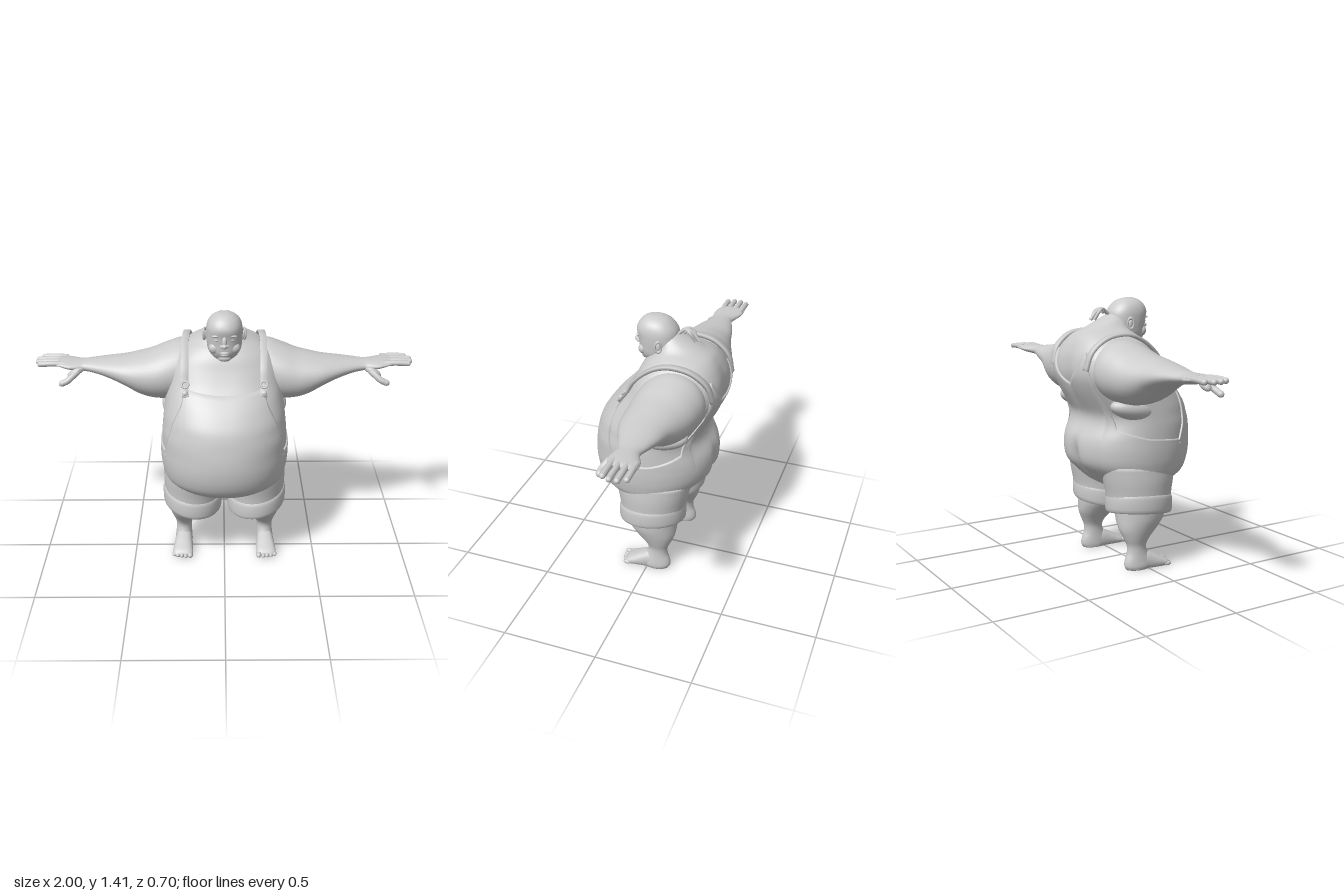
import * as THREE from 'three';

const V = (x, y, z) => new THREE.Vector3(x, y, z);
const TAU = Math.PI * 2;
const material = new THREE.MeshStandardMaterial({ color: 0xcccccc, side: THREE.DoubleSide });

// Smooth interpolation of keyed rows; the first entry of each row is the position
function at(keys, s) {
  let i = 0;
  while (i < keys.length - 2 && s > keys[i + 1][0]) i++;
  const a = keys[i], b = keys[i + 1], p = keys[Math.max(i - 1, 0)], q = keys[Math.min(i + 2, keys.length - 1)];
  const h = b[0] - a[0], t = (s - a[0]) / h, t2 = t * t, t3 = t2 * t;
  return a.map((v, k) => {
    if (k === 0) return s;
    const ma = (b[k] - p[k]) / (b[0] - p[0]) * h, mb = (q[k] - a[k]) / (q[0] - a[0]) * h;
    return v * (2 * t3 - 3 * t2 + 1) + ma * (t3 - 2 * t2 + t) + b[k] * (3 * t2 - 2 * t3) + mb * (t3 - t2);
  });
}

function levels(keys, sub) {
  const out = [];
  for (let i = 0; i < keys.length - 1; i++) {
    for (let j = 0; j < sub; j++) out.push(keys[i][0] + (keys[i + 1][0] - keys[i][0]) * j / sub);
  }
  return [...out, keys[keys.length - 1][0]];
}

// Skin closed rings of points; ends are 'cap', 'open' or 'loop'
function loft(rings, ends = 'cap') {
  const n = rings[0].length, m = rings.length, pts = rings.flat(), index = [];
  for (let i = 0; i < (ends === 'loop' ? m : m - 1); i++) {
    for (let j = 0; j < n; j++) {
      const a = i * n + j, b = i * n + (j + 1) % n, c = ((i + 1) % m) * n + j, d = ((i + 1) % m) * n + (j + 1) % n;
      index.push(a, b, d, a, d, c);
    }
  }
  if (ends === 'cap') {
    for (const i of [0, m - 1]) {
      const mid = pts.length;
      pts.push(rings[i].reduce((s, p) => s.add(p), V(0, 0, 0)).divideScalar(n));
      for (let j = 0; j < n; j++) {
        const a = i * n + j, b = i * n + (j + 1) % n;
        index.push(...(i === 0 ? [b, a, mid] : [a, b, mid]));
      }
    }
  }
  let volume = 0;
  for (let i = 0; i < index.length; i += 3) {
    volume += pts[index[i]].dot(V(0, 0, 0).crossVectors(pts[index[i + 1]], pts[index[i + 2]]));
  }
  if (volume < 0) index.reverse();
  const geo = new THREE.BufferGeometry().setFromPoints(pts);
  geo.setIndex(index);
  geo.computeVertexNormals();
  return geo;
}

const ringOf = (n, fn) => Array.from({ length: n }, (_, j) => fn(j / n * TAU));
const pow = (v, e) => Math.sign(v) * Math.abs(v) ** e;

function blob(x, y, z, rx, ry, rz, tiltX = 0, tiltZ = 0) {
  return new THREE.SphereGeometry(1, 20, 14).scale(rx, ry, rz).rotateX(tiltX).rotateZ(tiltZ).translate(x, y, z);
}
const tube = (points, r) => new THREE.TubeGeometry(new THREE.CatmullRomCurve3(points), 20, r, 10, false);

// Upright limb rows: y, inner x, outer x, front z, back z
const limb = (keys) => loft(levels(keys, 4).map((y) => {
  const [, x0, x1, zf, zb] = at(keys, y);
  return ringOf(32, (a) => V((x0 + x1) / 2 + (x1 - x0) / 2 * Math.cos(a), y, (zf + zb) / 2 + (zf - zb) / 2 * Math.sin(a)));
}));

// Torso rows: y, half width, front z, back z, widest z, squareness
const torso = [
  [0.42, 0.16, 0.17, -0.12, 0.01, 2], [0.45, 0.25, 0.24, -0.17, 0.01, 2], [0.5, 0.305, 0.3, -0.225, 0.02, 2.1],
  [0.56, 0.325, 0.33, -0.28, 0.02, 2.1], [0.63, 0.333, 0.343, -0.295, 0.02, 2.1], [0.7, 0.333, 0.342, -0.285, 0.02, 2.1],
  [0.77, 0.33, 0.33, -0.245, 0.02, 2.2], [0.82, 0.325, 0.318, -0.24, 0.01, 2.2], [0.87, 0.32, 0.297, -0.265, -0.01, 2.3],
  [0.95, 0.31, 0.24, -0.31, -0.05, 2.4], [1.03, 0.3, 0.165, -0.338, -0.08, 2.6], [1.11, 0.28, 0.115, -0.333, -0.08, 2.6],
  [1.17, 0.24, 0.085, -0.31, -0.08, 2.5], [1.21, 0.2, 0.055, -0.285, -0.09, 2.3], [1.235, 0.16, 0.03, -0.26, -0.09, 2.1],
  [1.26, 0.11, 0.02, -0.215, -0.07, 2], [1.3, 0.075, 0.01, -0.14, -0.05, 2], [1.335, 0.045, 0, -0.07, -0.03, 2],
];
// Point on the torso: phi = 0 is the front, pi the back
function body(phi, y, off = 0) {
  const [, w, zf, zb, zm, p] = at(torso, y);
  const s = Math.sin(phi), c = Math.cos(phi);
  const x = w * pow(s, 2 / p);
  let z = zm + (c > 0 ? zf - zm : zm - zb) * pow(c, 2 / p);
  if (c < 0) {
    const crease = 0.035 * Math.exp(-(((y - 0.57) / 0.1) ** 2)) + 0.014 * Math.exp(-(((y - 1.02) / 0.13) ** 2));
    z += crease * Math.exp(-((x / 0.035) ** 2));
  }
  return V(x + off * s, y, z + off * c);
}

// Upper edge of the overalls by angle from the front, in degrees
const edge = [[0, 1.01], [36, 1.03], [40, 0.97], [52, 0.87], [66, 0.69], [100, 0.71], [136, 0.76],
  [141, 0.82], [145, 0.92], [149, 1.13], [153, 1.16], [165, 1.06], [180, 0.98]];
function edgeHeight(phi) {
  const d = Math.abs(THREE.MathUtils.radToDeg(phi > Math.PI ? phi - TAU : phi));
  const i = Math.max(1, edge.findIndex((k) => k[0] >= d - 1e-6));
  const [a, b] = [edge[i - 1], edge[i]];
  return THREE.MathUtils.lerp(a[1], b[1], (d - a[0]) / (b[0] - a[0]));
}

export function createModel() {
  const model = new THREE.Group();
  model.name = 'bigManInOveralls';
  const add = (name, geo) => {
    const mesh = new THREE.Mesh(geo, material);
    mesh.name = name;
    model.add(mesh);
  };
  const pair = (name, geo) => {
    add('left' + name, geo);
    const other = geo.clone().scale(-1, 1, 1);
    other.setIndex(Array.from(geo.index.array).reverse());
    add('right' + name, other);
  };

  // Torso with neck roll, and the overalls lying over it
  add('torso', loft(levels(torso, 4).map((y) => ringOf(72, (a) => body(a, y)))));
  const rows = 32;
  add('overalls', loft(Array.from({ length: rows + 2 }, (_, i) => ringOf(180, (a) => {
    const y = THREE.MathUtils.lerp(0.425, edgeHeight(a), Math.min(i / rows, 1));
    return body(a, y, i > rows ? -0.006 : 0.008);
  })), 'open'));
  pair('FlankRoll', blob(0.265, 0.86, -0.1, 0.07, 0.055, 0.13, 0.2));

  // Shoulder straps with buckles and buttons
  const path = new THREE.CatmullRomCurve3([V(0.2, 1.0, 0.165), V(0.202, 1.06, 0.118), V(0.203, 1.12, 0.085), V(0.203, 1.19, 0.012),
    V(0.203, 1.226, -0.06), V(0.2, 1.234, -0.13), V(0.195, 1.214, -0.22), V(0.185, 1.15, -0.295), V(0.172, 1.06, -0.322)]);
  pair('Strap', loft(Array.from({ length: 41 }, (_, i) => {
    const p = path.getPoint(i / 40), n = path.getTangent(i / 40).cross(V(1, 0, 0)).normalize();
    return [[-1, -1], [1, -1], [1, 1], [-1, 1]].map(([u, v]) => p.clone().add(V(u * 0.018, 0, 0)).addScaledVector(n, v * 0.008));
  })));
  pair('Buckle', new THREE.TorusGeometry(0.017, 0.006, 8, 20).rotateX(-0.6).translate(0.202, 1.055, 0.133));
  pair('BibButton', blob(0.202, 1.02, 0.158, 0.015, 0.015, 0.01, -0.6));
  pair('HipButton', blob(0.305, 0.665, 0.155, 0.012, 0.016, 0.016));

  // Shorts legs and rolled cuffs
  pair('ShortsLeg', limb([[0.32, 0.022, 0.328, 0.168, -0.182], [0.4, 0.018, 0.33, 0.175, -0.188],
    [0.48, 0.012, 0.332, 0.19, -0.205], [0.56, 0.01, 0.325, 0.2, -0.22]]));
  pair('Cuff', loft(ringOf(14, (b) => {
    const r = 0.147 + 0.015 * pow(Math.cos(b), 0.6), h = 0.05 * pow(Math.sin(b), 0.7);
    return ringOf(40, (a) => {
      const x = r * Math.cos(a), z = r * 1.14 * Math.sin(a);
      return V(0.176 + x, 0.34 + h + x * 0.14 - z * 0.1, z - 0.005);
    });
  }), 'loop'));

  // Lower legs, feet and toes
  pair('Calf', limb([[0, 0.185, 0.275, 0.03, -0.115], [0.02, 0.182, 0.28, 0.05, -0.125], [0.05, 0.183, 0.277, 0.04, -0.122],
    [0.09, 0.186, 0.272, 0.01, -0.108], [0.13, 0.184, 0.272, 0.002, -0.108], [0.17, 0.165, 0.284, 0.025, -0.125],
    [0.22, 0.128, 0.3, 0.075, -0.145], [0.28, 0.085, 0.315, 0.12, -0.15], [0.38, 0.06, 0.32, 0.13, -0.15]]));
  const foot = [[-0.07, 0.19, 0.27, 0.05], [-0.02, 0.183, 0.275, 0.095], [0.03, 0.18, 0.282, 0.08],
    [0.08, 0.178, 0.288, 0.055], [0.115, 0.178, 0.288, 0.036], [0.13, 0.185, 0.275, 0.02]];
  pair('Foot', loft(levels(foot, 4).map((z) => {
    const [, x0, x1, top] = at(foot, z);
    return ringOf(24, (a) => V((x0 + x1) / 2 + (x1 - x0) / 2 * pow(Math.cos(a), 0.75), Math.max(0, top * (0.4 + 0.6 * Math.sin(a))), z));
  })));
  for (let i = 0; i < 5; i++) {
    const r = i === 0 ? 0.015 : 0.0115;
    pair('Toe' + (i + 1), blob(0.192 + i * 0.0215 + (i ? 0.004 : 0), r, 0.13 - i * i * 0.0012, r, r, 0.022));
  }

  // Arms down to the palm: x, top y, bottom y, back z, front z
  const arm = [[0.14, 1.19, 0.92, -0.27, 0.03], [0.22, 1.208, 0.895, -0.3, 0.045], [0.3, 1.188, 0.89, -0.288, 0.058],
    [0.38, 1.16, 0.9, -0.265, 0.06], [0.45, 1.145, 0.927, -0.24, 0.055], [0.52, 1.131, 0.972, -0.215, 0.042],
    [0.6, 1.12, 1.01, -0.198, 0.012], [0.68, 1.11, 1.035, -0.175, -0.022], [0.74, 1.104, 1.045, -0.158, -0.042],
    [0.78, 1.103, 1.05, -0.17, -0.035], [0.82, 1.103, 1.056, -0.188, -0.032], [0.87, 1.102, 1.068, -0.195, -0.048],
    [0.89, 1.096, 1.076, -0.188, -0.056]];
  pair('Arm', loft(levels(arm, 4).map((x) => {
    const [, top, low, zb, zf] = at(arm, x);
    return ringOf(36, (a) => V(x, (top + low) / 2 + (top - low) / 2 * Math.sin(a), (zf + zb) / 2 + (zf - zb) / 2 * Math.cos(a)));
  })));

  // Fingers and thumbs
  [[-0.179, 0.965], [-0.142, 0.986], [-0.104, 0.986], [-0.068, 0.972]].forEach(([z, tip], i) => {
    pair('Finger' + (i + 1), tube([V(0.84, 1.087, z * 0.95 - 0.006), V(0.91, 1.09, z), V(tip, 1.087, z)], 0.0145));
    pair('Fingertip' + (i + 1), blob(tip, 1.087, z, 0.0145, 0.0145, 0.0145));
  });
  pair('Thumb', tube([V(0.755, 1.068, -0.055), V(0.795, 1.04, -0.02), V(0.825, 1.018, -0.003), V(0.85, 1.007, 0)], 0.0165));
  pair('ThumbBase', blob(0.79, 1.048, -0.045, 0.045, 0.022, 0.025, 0, -0.6));
  pair('ThumbTip', blob(0.85, 1.007, 0, 0.02, 0.0165, 0.0165, 0, -0.4));

  // Head: y, half width, front z, back z
  const head = [[1.155, 0.03, 0.07, -0.04], [1.17, 0.052, 0.09, -0.06], [1.19, 0.071, 0.106, -0.07], [1.22, 0.086, 0.119, -0.08],
    [1.26, 0.092, 0.122, -0.085], [1.3, 0.094, 0.127, -0.086], [1.34, 0.091, 0.134, -0.08], [1.375, 0.077, 0.118, -0.055],
    [1.398, 0.051, 0.093, -0.025], [1.409, 0.022, 0.068, 0.01]];
  add('head', loft(levels(head, 4).map((y) => {
    const [, w, zf, zb] = at(head, y);
    return ringOf(40, (a) => V(w * pow(Math.cos(a), 0.9), y, (zf + zb) / 2 + (zf - zb) / 2 * pow(Math.sin(a), 0.9)));
  })));
  add('noseBridge', blob(0, 1.285, 0.127, 0.012, 0.03, 0.013, -0.25));
  add('noseTip', blob(0, 1.263, 0.137, 0.015, 0.013, 0.015));
  pair('Nostril', blob(0.014, 1.259, 0.127, 0.01, 0.009, 0.012));
  add('upperLip', blob(0, 1.221, 0.117, 0.026, 0.007, 0.01));
  add('lowerLip', blob(0, 1.209, 0.114, 0.021, 0.008, 0.01));
  add('chin', blob(0, 1.185, 0.09, 0.035, 0.02, 0.02));
  pair('Cheek', blob(0.048, 1.238, 0.088, 0.032, 0.03, 0.025));
  pair('Eye', blob(0.036, 1.288, 0.109, 0.016, 0.009, 0.012));
  pair('Brow', blob(0.038, 1.311, 0.114, 0.026, 0.008, 0.012, 0, -0.1));
  pair('EarRim', new THREE.TorusGeometry(0.02, 0.006, 8, 20).scale(0.8, 1.4, 1).rotateY(Math.PI / 2 + 0.35).translate(0.103, 1.28, -0.01));
  pair('EarInner', blob(0.098, 1.276, -0.006, 0.008, 0.024, 0.014));

  // Small tied tuft of hair behind the head
  add('hairTie', new THREE.TorusGeometry(0.013, 0.006, 8, 16).rotateX(-0.6).translate(0, 1.345, -0.125));
  [-1, 0, 1].forEach((k) => add('hairLock', tube([V(k * 0.004, 1.325, -0.085), V(k * 0.008, 1.354, -0.122),
    V(k * 0.024, 1.345, -0.15), V(k * 0.014, 1.3, -0.192 + Math.abs(k) * 0.015)], 0.0085)));
  return model;
}
